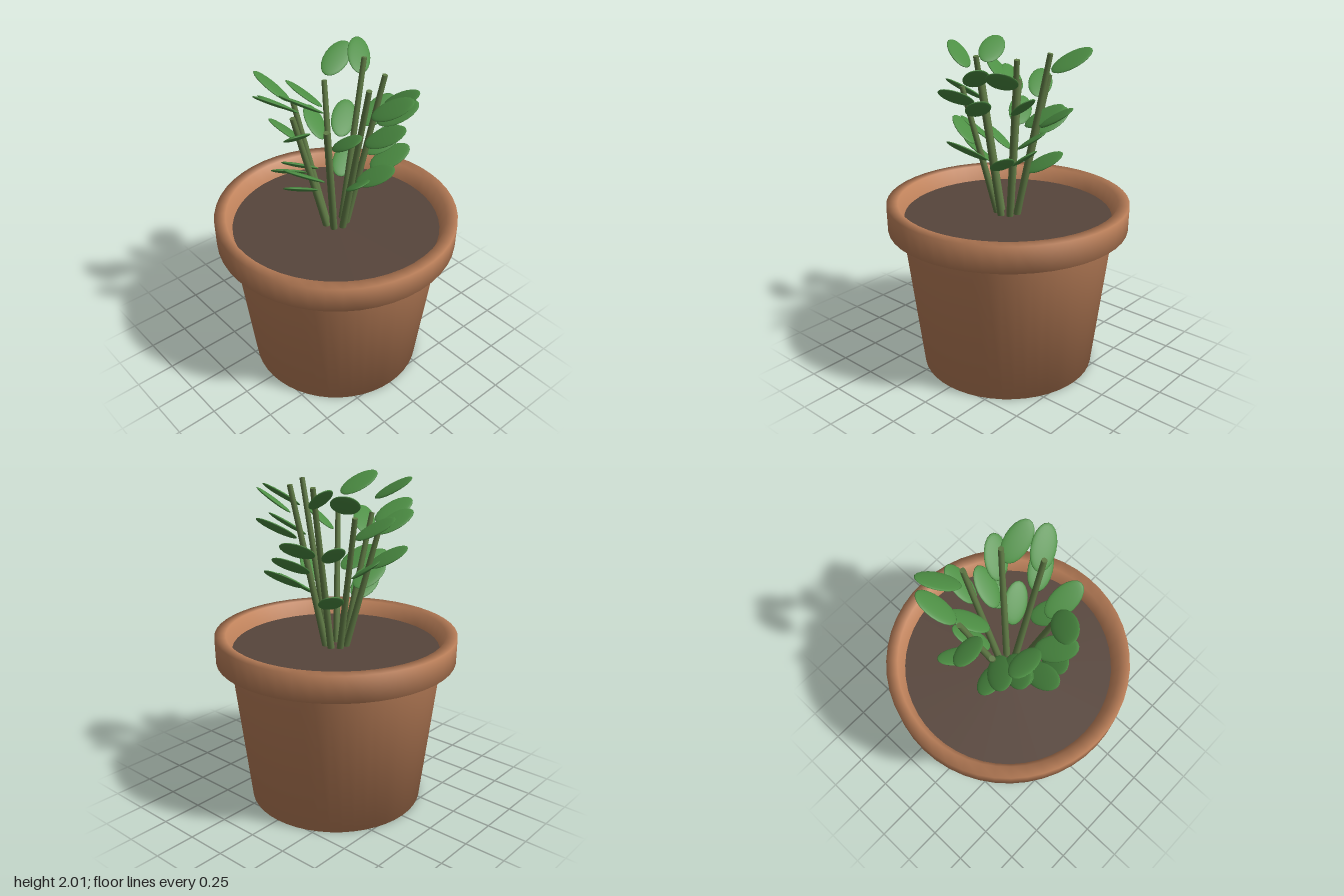
import * as THREE from 'three';

const mat = (name, color) => {
  const m = new THREE.MeshStandardMaterial({ color });
  m.name = name;
  return m;
};

// Leaves: centre x, y, z and the compass angle (degrees, 0 = +x, 90 = +z) they point to
const LEAVES = [
  // around the +x side
  [0.36, 1.885, -0.085, -31], [0.33, 1.71, -0.07, -30], [0.27, 1.73, 0.155, 8],
  [0.275, 1.43, 0.075, 40], [0.2, 1.37, -0.13, -33],
  // back +x side
  [0.295, 1.875, -0.215, -8], [0.205, 1.73, -0.285, -50], [0.11, 1.52, -0.27, -72],
  [0.17, 1.43, -0.27, -58],
  // back
  [-0.016, 1.64, -0.344, -87], [-0.175, 1.94, -0.325, -139], [-0.12, 1.32, -0.18, -115],
  // back -x side
  [-0.277, 1.91, -0.24, -105], [-0.295, 1.75, -0.005, 155], [-0.3, 1.53, -0.09, -162],
  [-0.13, 1.6, -0.17, -125],
  // front -x side
  [-0.28, 1.56, 0.14, 152], [-0.27, 1.76, 0.2, 125], [-0.215, 1.81, 0.27, 115],
  // front
  [-0.19, 1.935, 0.295, 163], [-0.05, 1.46, 0.305, 85], [-0.11, 1.42, 0.18, 97],
  // front +x side
  [0.085, 1.94, 0.31, 120], [0.07, 1.48, 0.29, 112], [0.04, 1.72, 0.31, 52],
  [-0.02, 1.33, 0.25, 85],
];

// Tip heights of the seven stems, counted from +x towards +z
const STEM_TOPS = [1.985, 1.77, 1.78, 1.76, 1.82, 1.985, 1.975];

export function createModel() {
  const clay = mat('terracotta', 0xbf825b);
  const earth = mat('soil brown', 0x57453b);
  const stalk = mat('stem green', 0x5f7a45);
  const green = mat('leaf green', 0x4d8f44);
  const model = new THREE.Group();
  model.name = 'pottedPlant';
  const add = (parent, geometry, material, name) => {
    const m = new THREE.Mesh(geometry, material);
    m.name = name;
    parent.add(m);
    return m;
  };

  // Tapered pot with a thick rim
  const profile = [[0, 0], [0.54, 0], [0.645, 0.9], [0.735, 0.92], [0.738, 1.08], [0.67, 1.08], [0.63, 0.98]]
    .map(([r, y]) => new THREE.Vector2(r, y));
  add(model, new THREE.LatheGeometry(profile, 48), clay, 'pot');

  // Soil
  const soil = add(model, new THREE.CircleGeometry(0.634, 48), earth, 'soil');
  soil.rotation.x = -Math.PI / 2;
  soil.position.y = 0.99;

  // Ring of stems leaning outward
  const stems = new THREE.Group();
  stems.name = 'stems';
  model.add(stems);
  const up = new THREE.Vector3(0, 1, 0);
  STEM_TOPS.forEach((top, i) => {
    const a = (i / STEM_TOPS.length) * Math.PI * 2;
    const base = new THREE.Vector3(Math.cos(a) * 0.06, 0.97, Math.sin(a) * 0.06);
    const tip = new THREE.Vector3(Math.cos(a) * 0.268, top, Math.sin(a) * 0.268);
    const axis = tip.clone().sub(base);
    const stem = add(stems, new THREE.CylinderGeometry(0.016, 0.022, axis.length(), 10), stalk, 'stem');
    stem.position.copy(base).add(tip).multiplyScalar(0.5);
    stem.quaternion.setFromUnitVectors(up, axis.normalize());
  });

  // Flat oval leaves, tips raised and blades rolled to one side
  const leaves = new THREE.Group();
  leaves.name = 'leaves';
  model.add(leaves);
  const leafShape = new THREE.SphereGeometry(1, 20, 12).scale(0.131, 0.012, 0.073);
  const tilt = THREE.MathUtils.degToRad(28);
  const roll = THREE.MathUtils.degToRad(23);
  for (const [x, y, z, angle] of LEAVES) {
    const leaf = add(leaves, leafShape, green, 'leaf');
    leaf.position.set(x, y, z);
    leaf.rotation.set(roll, -THREE.MathUtils.degToRad(angle), tilt, 'YZX');
  }
  return model;
}
